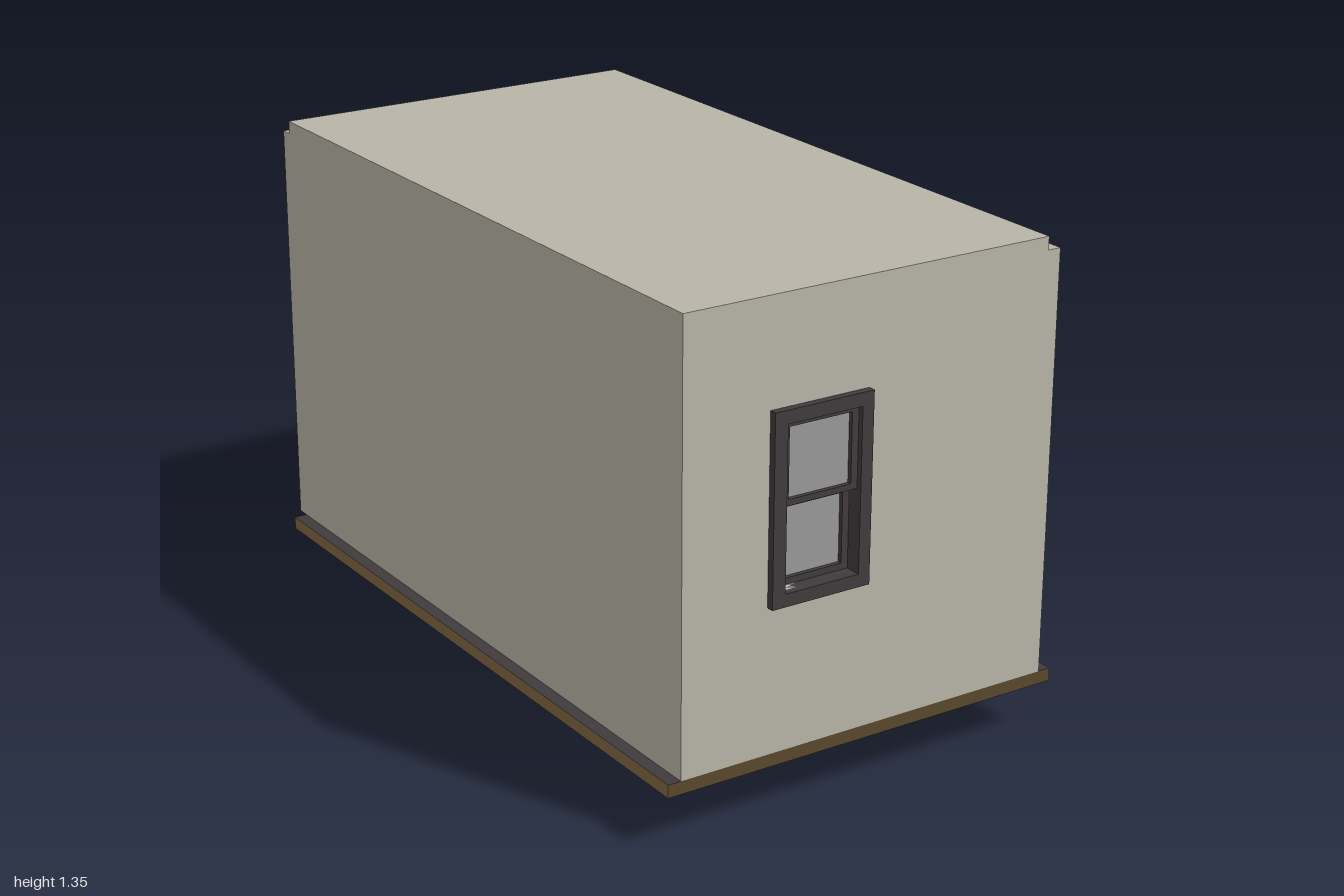
import * as THREE from 'three';

const mat = (name, color) => {
  const m = new THREE.MeshStandardMaterial({ color });
  m.name = name;
  return m;
};

export function createModel() {
  const plaster = mat('plaster', 0xb8b4a7);
  const darkWood = mat('dark wood', 0x59472d);
  const tanWood = mat('tan wood', 0x836843);
  const charcoal = mat('charcoal', 0x403a3c);
  const glass = mat('glass', 0x999999);

  const house = new THREE.Group();
  house.name = 'house';

  const add = (name, geometry, material, parent = house) => {
    const mesh = new THREE.Mesh(geometry, material);
    mesh.name = name;
    parent.add(mesh);
    return mesh;
  };
  // Box given by its two extreme corners
  const box = (name, x0, x1, y0, y1, z0, z1, material, parent) => {
    const g = new THREE.BoxGeometry(x1 - x0, y1 - y0, z1 - z0);
    g.translate((x0 + x1) / 2, (y0 + y1) / 2, (z0 + z1) / 2);
    return add(name, g, material, parent);
  };
  // Rectangular plate with a rectangular opening, extruded from z0 to z1
  const rect = (Type, [x0, x1, y0, y1]) => new Type([
    new THREE.Vector2(x0, y0), new THREE.Vector2(x1, y0),
    new THREE.Vector2(x1, y1), new THREE.Vector2(x0, y1),
  ]);
  const frame = (name, outer, inner, z0, z1, material, parent) => {
    const shape = rect(THREE.Shape, outer);
    shape.holes.push(rect(THREE.Path, inner));
    const g = new THREE.ExtrudeGeometry(shape, { depth: z1 - z0, bevelEnabled: false });
    g.translate(0, 0, z0);
    return add(name, g, material, parent);
  };

  // Floor slab: light long edges, dark ends, charcoal ledge on top
  box('floor', -0.583, 0.583, 0.145, 0.18, -0.965, 0.98,
    [tanWood, tanWood, charcoal, darkWood, darkWood, darkWood]);
  box('floorStrip', 0.547, 0.567, 0.18, 0.183, -0.87, 0.95, tanWood);
  box('supportBlock', -0.36, -0.105, 0, 0.145, 0.25, 0.5, darkWood);

  // Walls and roof, with a window opening in the front wall
  const opening = [-0.267, -0.053, 0.602, 1.03];
  box('walls', -0.547, 0.547, 0.18, 1.31, -1, 0.9, plaster);
  frame('frontWall', [-0.547, 0.547, 0.18, 1.31], opening, 0.9, 0.98, plaster);
  box('roof', -0.547, 0.51, 1.31, 1.345, -0.965, 0.98, plaster);

  // Sash window; the lower sash sits behind the upper one
  const win = new THREE.Group();
  win.name = 'window';
  house.add(win);
  frame('windowFrame', [-0.304, -0.02, 0.568, 1.065], opening, 0.91, 1, charcoal, win);
  for (const [name, y0, y1, p0, p1, z] of [
    ['upper', 0.818, 1.03, 0.834, 1.016, 0.985],
    ['lower', 0.602, 0.818, 0.619, 0.802, 0.955],
  ]) {
    frame(name + 'Sash', [-0.267, -0.053, y0, y1], [-0.252, -0.072, p0, p1],
      z - 0.025, z, charcoal, win);
    box(name + 'Pane', -0.252, -0.072, p0, p1, z - 0.02, z - 0.012, glass, win);
  }

  // Door and its surround on the long side
  box('door', 0.547, 0.567, 0.18, 1.032, 0.205, 0.523, tanWood);
  for (const [name, z] of [['frontJamb', 0.523], ['backJamb', 0.168]]) {
    box(name, 0.547, 0.583, 0.18, 1.032, z, z + 0.037, darkWood);
  }
  box('doorHeader', 0.547, 0.583, 1.032, 1.065, 0.168, 0.56, darkWood);

  return house;
}
